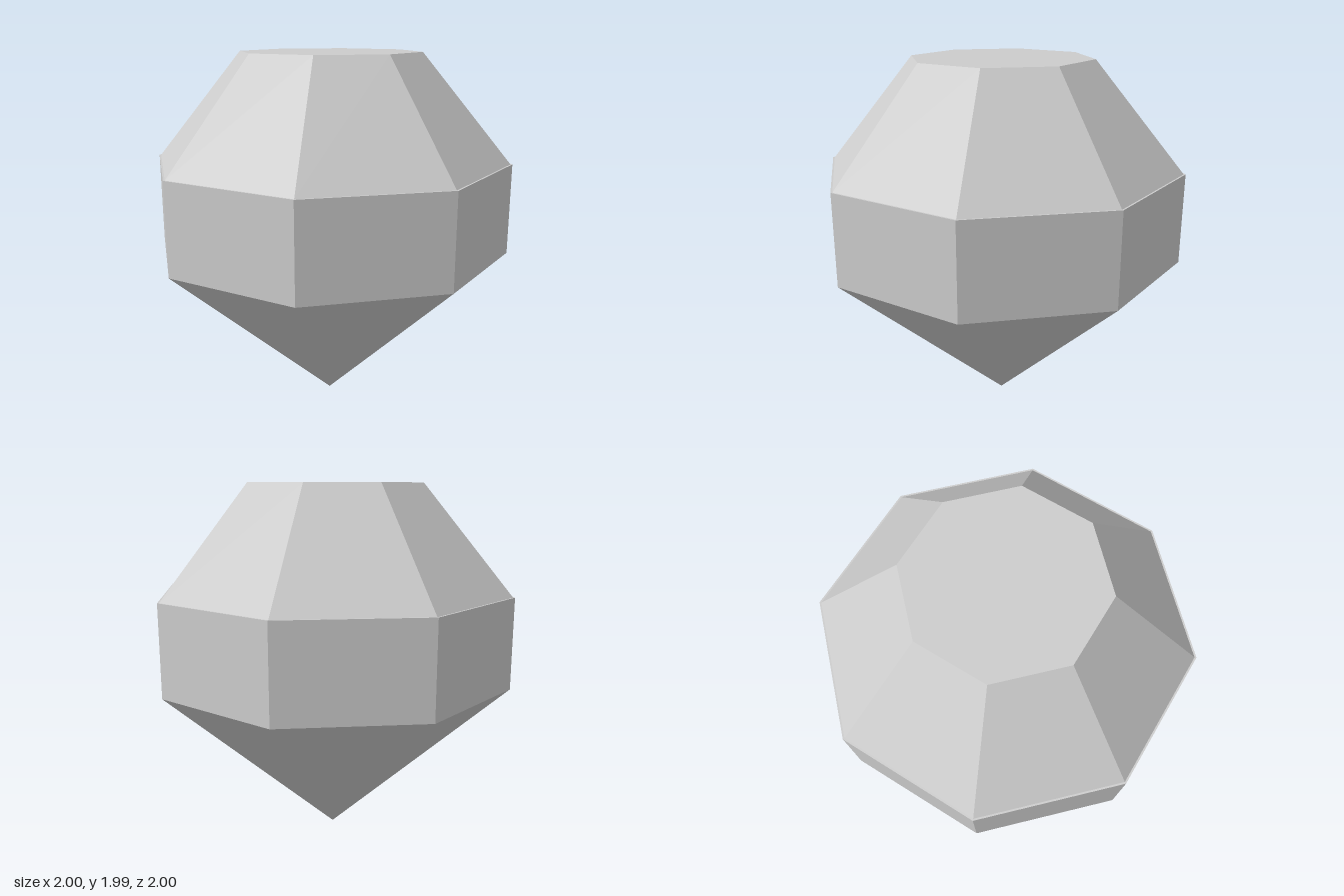
import * as THREE from 'three';

const SIDES = 8;

export function createModel() {
  const gem = new THREE.Group();
  gem.name = 'gem';
  const grey = new THREE.MeshStandardMaterial({ color: 0xcccccc, flatShading: true });
  grey.name = 'stone grey';

  // Eight-sided tapered band between two heights, open or capped
  function band(name, rTop, rBottom, y0, y1, open = false) {
    const geometry = new THREE.CylinderGeometry(rTop, rBottom, y1 - y0, SIDES, 1, open);
    const mesh = new THREE.Mesh(geometry, grey);
    mesh.name = name;
    mesh.position.y = (y0 + y1) / 2;
    gem.add(mesh);
  }

  // Pointed underside
  band('pavilion', 1, 0, 0, 0.9, true);
  // Upright middle, its cap leaving a fine ledge around the crown
  band('girdle', 1, 1, 0.9, 1.4);
  // Sloping facets with the flat table on top
  band('crown', 0.5, 0.99, 1.4, 1.99);

  return gem;
}
